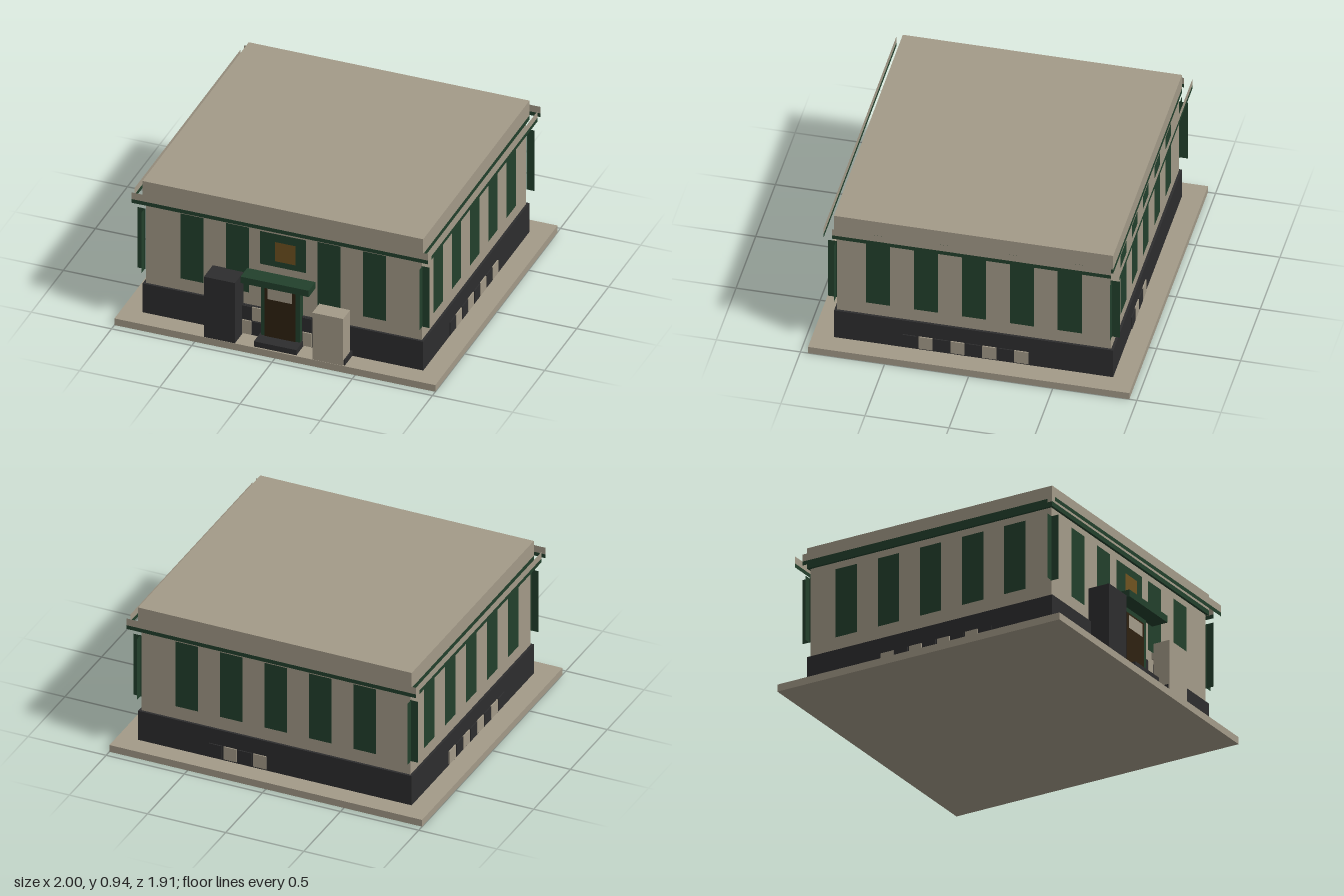
import * as THREE from 'three';

const mat = (name, color) => {
  const m = new THREE.MeshStandardMaterial({ color, side: THREE.DoubleSide });
  m.name = name;
  return m;
};

export function createModel() {
  const model = new THREE.Group();
  model.name = 'building';
  const stone = mat('stone', 0xa39a88);
  const green = mat('darkGreen', 0x22402c);
  const dark = mat('charcoal', 0x2d2d2e);
  const brown = mat('doorBrown', 0x2e2110);
  const gold = mat('plaqueGold', 0x6f5220);

  // Box given by its limits on each axis
  const box = (name, m, x0, x1, y0, y1, z0, z1, parent = model) => {
    const mesh = new THREE.Mesh(new THREE.BoxGeometry(x1 - x0, y1 - y0, z1 - z0), m);
    mesh.position.set((x0 + x1) / 2, (y0 + y1) / 2, (z0 + z1) / 2);
    mesh.name = name;
    parent.add(mesh);
    return mesh;
  };

  // Flat panel facing outward on a wall; a is the coordinate along the wall
  const panel = (name, m, a0, a1, y0, y1, axis, d) => {
    const mesh = new THREE.Mesh(new THREE.PlaneGeometry(a1 - a0, y1 - y0), m);
    const a = (a0 + a1) / 2, y = (y0 + y1) / 2;
    if (axis === 'z') {
      mesh.position.set(a, y, d);
      mesh.rotation.y = d > 0 ? 0 : Math.PI;
    } else {
      mesh.position.set(d, y, a);
      mesh.rotation.y = Math.sign(d) * Math.PI / 2;
    }
    mesh.name = name;
    model.add(mesh);
  };

  // Main masses
  box('groundSlab', stone, -1, 1, 0, 0.045, -0.955, 0.955);
  box('plinth', dark, -0.875, 0.875, 0.045, 0.24, -0.83, 0.83);
  box('walls', stone, -0.86, 0.86, 0.24, 0.81, -0.815, 0.815);
  box('greenBand', green, -0.875, 0.875, 0.805, 0.835, -0.83, 0.83);
  box('roof', stone, -0.875, 0.875, 0.835, 0.935, -0.83, 0.83);

  for (const s of [-1, 1]) {
    // Cornice strips standing clear of the walls
    panel('corniceStone', stone, -0.925, 0.925, 0.83, 0.875, 'z', s * 0.88);
    panel('corniceGreen', green, -0.925, 0.925, 0.805, 0.83, 'z', s * 0.88);
    panel('sideCorniceStone', stone, -0.83, 0.83, 0.83, 0.875, 'x', s * 0.925);
    panel('sideCorniceGreen', green, -0.83, 0.83, 0.805, 0.83, 'x', s * 0.925);

    // Crossed fins on the corners
    for (const t of [-1, 1]) {
      const px = t * 0.885, pz = t * 0.84;
      panel('cornerFin', green, px - 0.026, px + 0.026, 0.335, 0.745, 'z', s * 0.82);
      panel('cornerFin', green, pz - 0.027, pz + 0.027, 0.335, 0.745, 'x', s * 0.865);
    }

    // Side windows
    for (let i = -2; i <= 2; i++) {
      const c = i * 0.285;
      panel('sideWindow', green, c - 0.072, c + 0.072, 0.325, 0.76, 'x', s * 0.865);
    }

    // Alternating blocks along the side plinth
    for (let i = 0; i < 8; i++) {
      const c = 0.38 - i * 0.095;
      box('plinthBlock', i % 2 ? stone : dark, s * 0.878 - 0.004, s * 0.878 + 0.004,
        0.055, 0.14, c - 0.042, c + 0.042);
    }
  }

  // Back windows and blocks
  for (let i = -2; i <= 2; i++) {
    const c = i * 0.285;
    panel('backWindow', green, c - 0.072, c + 0.072, 0.325, 0.76, 'z', -0.82);
  }
  for (let i = 0; i < 4; i++) {
    const c = 0.38 - i * 0.095;
    box('backBlock', i % 2 ? stone : dark, c - 0.042, c + 0.042, 0.055, 0.14, -0.837, -0.829);
  }

  // Front windows
  for (const c of [-0.57, -0.287, 0.283, 0.567]) {
    panel('frontWindow', green, c - 0.071, c + 0.071, 0.322, 0.762, 'z', 0.82);
  }

  // Panel above the entrance
  panel('entrancePanel', green, -0.145, 0.14, 0.535, 0.757, 'z', 0.822);
  panel('plaque', gold, -0.05, 0.078, 0.575, 0.705, 'z', 0.826);

  // Entrance
  box('doorFrame', green, -0.125, 0.12, 0.06, 0.465, 0.81, 0.86);
  box('door', brown, -0.1, 0.092, 0.075, 0.43, 0.858, 0.865);
  panel('doorPane', stone, -0.08, 0.073, 0.335, 0.417, 'z', 0.868);
  box('canopy', green, -0.215, 0.21, 0.462, 0.505, 0.848, 0.953);
  box('doorstep', dark, -0.135, 0.13, 0.045, 0.08, 0.825, 0.945);

  // Chequered blocks beside the door
  [[-0.25, -0.195], [-0.188, -0.13], [0.125, 0.182], [0.188, 0.235]].forEach(([x0, x1], i) => {
    const lowStone = i % 2 === 0;
    box('chequerLow', lowStone ? stone : dark, x0, x1, 0.05, 0.14, 0.83, 0.838);
    box('chequerHigh', lowStone ? dark : stone, x0, x1, 0.148, 0.238, 0.83, 0.838);
  });

  // Piers flanking the entrance
  box('darkPier', dark, -0.443, -0.25, 0.045, 0.453, 0.815, 0.953);
  box('stonePier', stone, 0.233, 0.425, 0.045, 0.362, 0.845, 0.953);
  box('pierBracket', stone, 0.26, 0.41, 0.28, 0.32, 0.815, 0.845);
  box('pierFoot', dark, 0.23, 0.433, 0.045, 0.08, 0.82, 0.945);

  return model;
}
